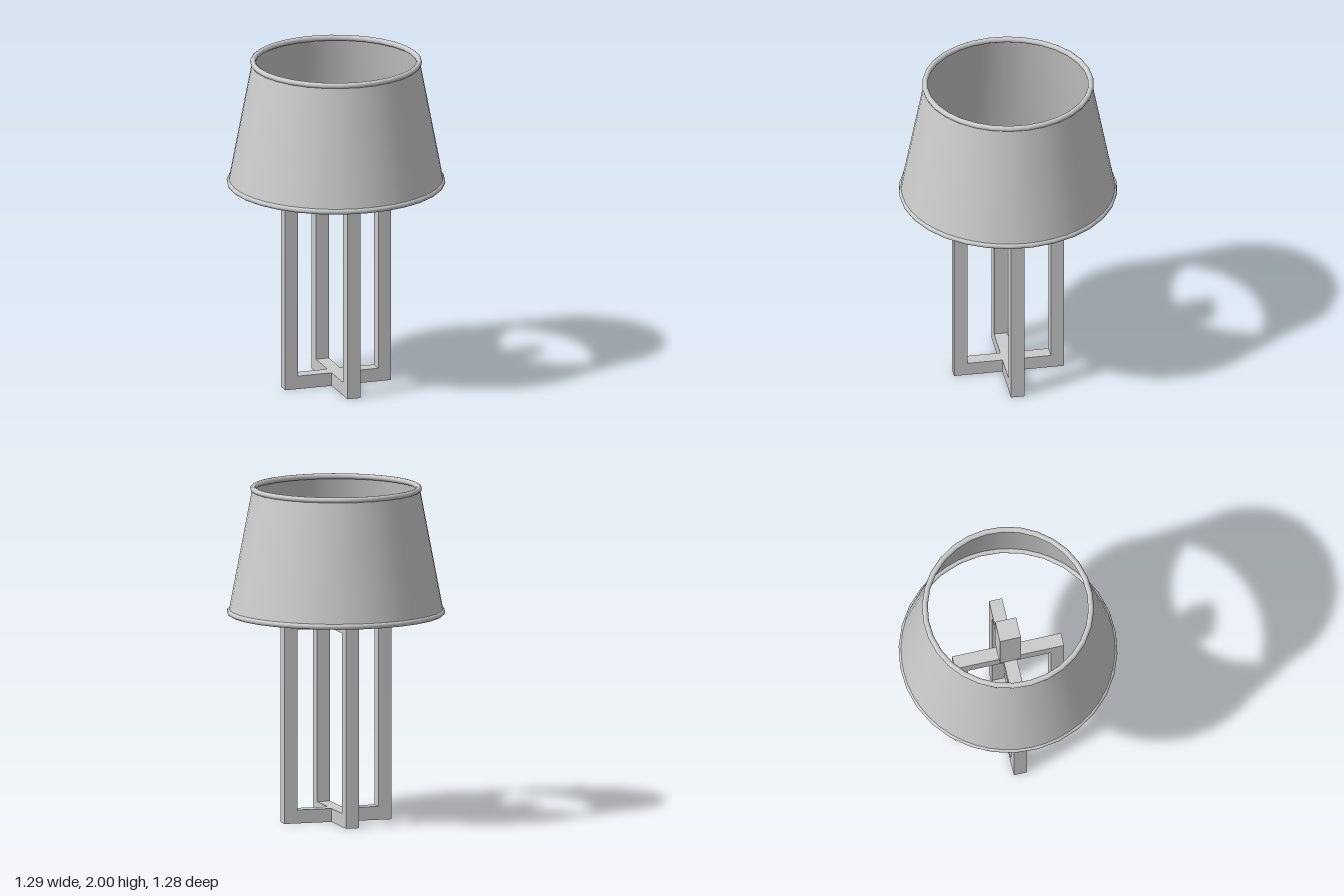
import * as THREE from 'three';

const material = new THREE.MeshStandardMaterial({ color: 0xcccccc });
const shadeMaterial = new THREE.MeshStandardMaterial({ color: 0xcccccc, side: THREE.DoubleSide });

function addMesh(parent, name, geometry, y = 0, mat = material) {
  const mesh = new THREE.Mesh(geometry, mat);
  mesh.name = name;
  mesh.position.y = y;
  parent.add(mesh);
  return mesh;
}

// Upright rectangular frame, extruded with a window and centred on its depth
function frameGeometry(halfWidth, height, bar) {
  const rect = (Type, w, y0, y1) => new Type([
    new THREE.Vector2(-w, y0), new THREE.Vector2(w, y0),
    new THREE.Vector2(w, y1), new THREE.Vector2(-w, y1),
  ]);
  const shape = rect(THREE.Shape, halfWidth, 0, height);
  shape.holes.push(rect(THREE.Path, halfWidth - bar, bar, height - bar));
  const geometry = new THREE.ExtrudeGeometry(shape, { depth: bar, bevelEnabled: false });
  return geometry.translate(0, 0, -bar / 2);
}

export function createModel() {
  const lamp = new THREE.Group();
  lamp.name = 'tableLamp';

  // Two frames crossing at right angles on the diagonals
  const base = new THREE.Group();
  base.name = 'base';
  lamp.add(base);
  for (const [name, turn] of [['baseFrameA', 1], ['baseFrameB', -1]]) {
    addMesh(base, name, frameGeometry(0.33, 1.235, 0.08)).rotation.y = turn * Math.PI / 4;
  }

  // Square socket block standing on the crossing
  const socketHeight = 0.37;
  addMesh(lamp, 'socket', new THREE.BoxGeometry(0.127, socketHeight, 0.127), 1.235 + socketHeight / 2)
    .rotation.y = Math.PI / 4;

  // Thin tapered shade, open at both ends
  addMesh(lamp, 'shade', new THREE.CylinderGeometry(0.495, 0.635, 0.735, 48, 1, true), 1.6155, shadeMaterial);

  // Rolled rims
  for (const [name, radius, y] of [['topRim', 0.491, 1.983], ['bottomRim', 0.629, 1.249]]) {
    const rim = new THREE.TorusGeometry(radius, 0.017, 10, 30).rotateX(Math.PI / 2);
    addMesh(lamp, name, rim, y);
  }
  return lamp;
}
